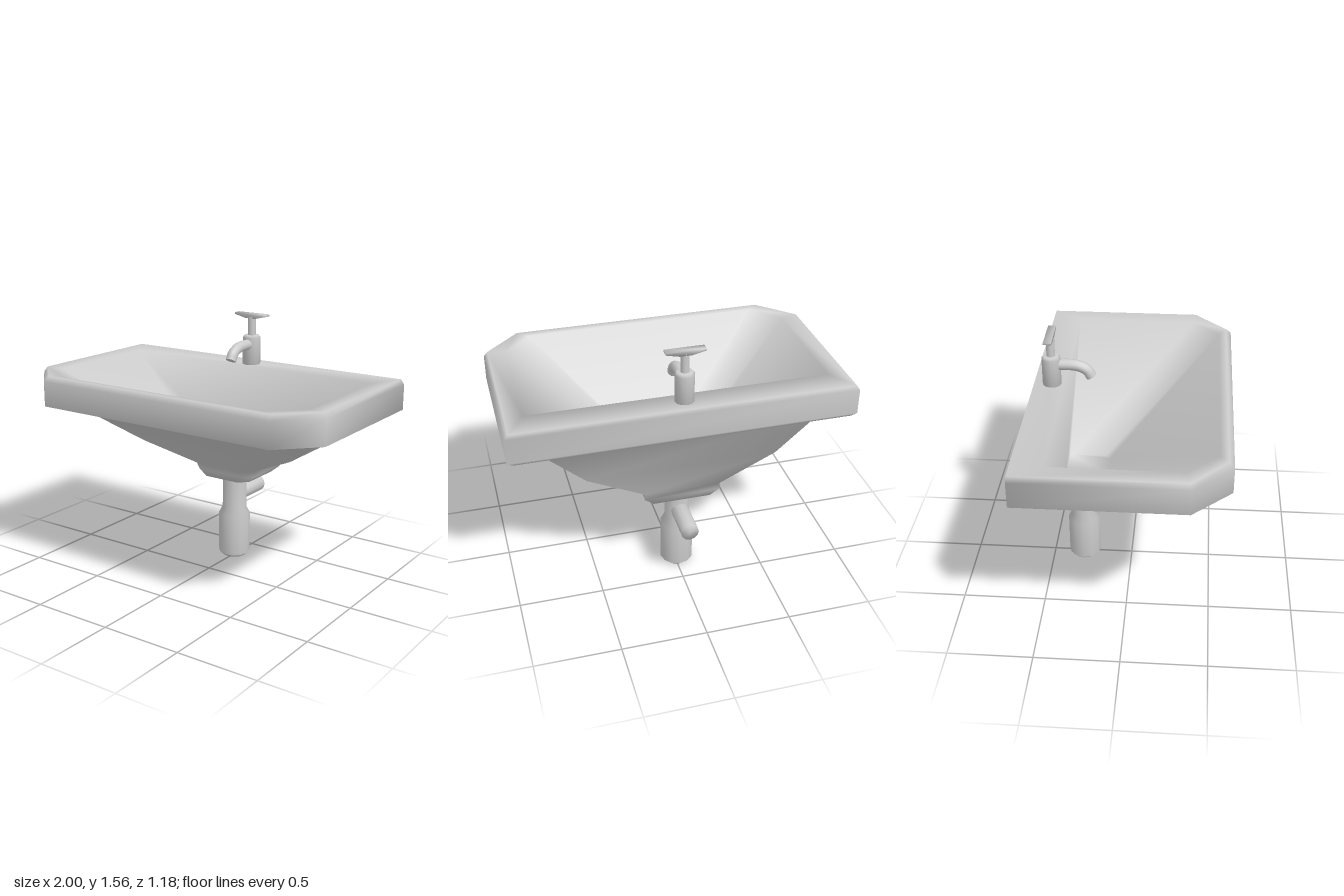
import * as THREE from 'three';
import { toCreasedNormals } from 'three/addons/utils/BufferGeometryUtils.js';

const material = new THREE.MeshStandardMaterial({ color: 0xcccccc });

function addMesh(parent, name, geometry, x = 0, y = 0, z = 0) {
  const mesh = new THREE.Mesh(geometry, material);
  mesh.name = name;
  mesh.position.set(x, y, z);
  parent.add(mesh);
  return mesh;
}

// Six-cornered section: square back corners, chamfered front corners
function section({ y, yBack = y, x, back, front, chamferX, chamferZ }) {
  return [
    [x, yBack, back], [-x, yBack, back], [-x, y, chamferZ],
    [-chamferX, y, front], [chamferX, y, front], [x, y, chamferZ],
  ];
}

// Smooth skin through closed sections, capped at both ends
function loft(rings) {
  const n = rings[0].length;
  const index = [];
  for (let i = 0; i < rings.length - 1; i++) {
    for (let j = 0; j < n; j++) {
      const k = (j + 1) % n;
      const a = i * n + j, b = i * n + k, c = b + n, d = a + n;
      index.push(a, b, c, a, c, d);
    }
  }
  const last = (rings.length - 1) * n;
  for (let j = 1; j < n - 1; j++) {
    index.push(0, j + 1, j, last, last + j, last + j + 1);
  }
  const geometry = new THREE.BufferGeometry();
  geometry.setAttribute('position', new THREE.Float32BufferAttribute(rings.flat(2), 3));
  geometry.setIndex(index);
  geometry.computeVertexNormals();
  return geometry;
}

// Turned part from [radius, height] pairs
function turned(profile) {
  return new THREE.LatheGeometry(profile.map(([r, y]) => new THREE.Vector2(r, y)), 12);
}

function createBasin() {
  // From the foot, up the outside, over the rim and down into the bowl
  return loft([
    { y: 0.555, x: 0.17, back: -0.455, front: -0.14, chamferX: 0.12, chamferZ: -0.2 },
    { y: 0.6, x: 0.225, back: -0.465, front: -0.125, chamferX: 0.16, chamferZ: -0.19 },
    { y: 0.64, x: 0.225, back: -0.466, front: -0.11, chamferX: 0.16, chamferZ: -0.175 },
    { y: 0.8, x: 0.56, back: -0.468, front: 0.11, chamferX: 0.42, chamferZ: -0.02 },
    { y: 1.0, yBack: 1.045, x: 0.84, back: -0.47, front: 0.35, chamferX: 0.66, chamferZ: 0.19 },
    { y: 1.05, x: 0.965, back: -0.573, front: 0.55, chamferX: 0.77, chamferZ: 0.352 },
    { y: 1.063, x: 1, back: -0.575, front: 0.59, chamferX: 0.79, chamferZ: 0.37 },
    { y: 1.215, x: 1, back: -0.575, front: 0.59, chamferX: 0.79, chamferZ: 0.37 },
    { y: 1.245, x: 0.98, back: -0.575, front: 0.56, chamferX: 0.775, chamferZ: 0.36 },
    { y: 1.24, x: 0.875, back: -0.4, front: 0.515, chamferX: 0.71, chamferZ: 0.34 },
    { y: 0.67, x: 0.11, back: -0.395, front: -0.14, chamferX: 0.08, chamferZ: -0.17 },
  ].map(section));
}

function createTap() {
  const tap = new THREE.Group();
  tap.name = 'tap';

  addMesh(tap, 'tapBody', turned(
    [[0, 0], [0.056, 0], [0.056, 0.175], [0.045, 0.19], [0, 0.19]]), -0.002, 1.235, -0.47);
  addMesh(tap, 'tapStem', turned([[0.025, 0], [0.025, 0.12]]), -0.002, 1.42, -0.47);

  // Handle: flat on top, deeper in the middle
  const shape = new THREE.Shape([
    [-0.113, 0.03], [-0.113, 0.018], [-0.035, 0], [0.035, 0], [0.113, 0.018], [0.113, 0.03],
  ].map(([x, y]) => new THREE.Vector2(x, y)));
  const bar = new THREE.ExtrudeGeometry(shape, { depth: 0.045, bevelEnabled: false });
  bar.translate(0, 0, -0.0225);
  addMesh(tap, 'tapHandle', toCreasedNormals(bar, 1.7), -0.002, 1.53, -0.472);

  // Spout bending down towards the bowl
  const path = new THREE.CatmullRomCurve3([
    [1.368, -0.46], [1.368, -0.34], [1.358, -0.295], [1.335, -0.258], [1.297, -0.236],
  ].map(([y, z]) => new THREE.Vector3(-0.002, y, z)));
  addMesh(tap, 'tapSpout', new THREE.TubeGeometry(path, 12, 0.033, 12, false));
  const end = path.getPoint(1);
  const cap = addMesh(tap, 'spoutEnd', new THREE.CircleGeometry(0.033, 12), end.x, end.y, end.z);
  cap.quaternion.setFromUnitVectors(new THREE.Vector3(0, 0, 1), path.getTangent(1));
  return tap;
}

function createDrain() {
  const drain = new THREE.Group();
  drain.name = 'drain';

  // Waste pipe widening into the bottle trap
  addMesh(drain, 'bottleTrap', turned([
    [0, 0], [0.075, 0], [0.1, 0.025], [0.1, 0.285], [0.077, 0.33], [0.077, 0.57],
  ]), -0.011, 0, -0.303);

  // Outlet running back to the wall
  const outlet = turned([[0, 0], [0.053, 0], [0.053, 0.255], [0, 0.255]]);
  outlet.rotateX(-Math.PI / 2);
  addMesh(drain, 'outletPipe', outlet, -0.014, 0.408, -0.333);
  return drain;
}

export function createModel() {
  const model = new THREE.Group();
  model.name = 'washbasin';
  addMesh(model, 'basin', createBasin());
  model.add(createTap(), createDrain());
  return model;
}
